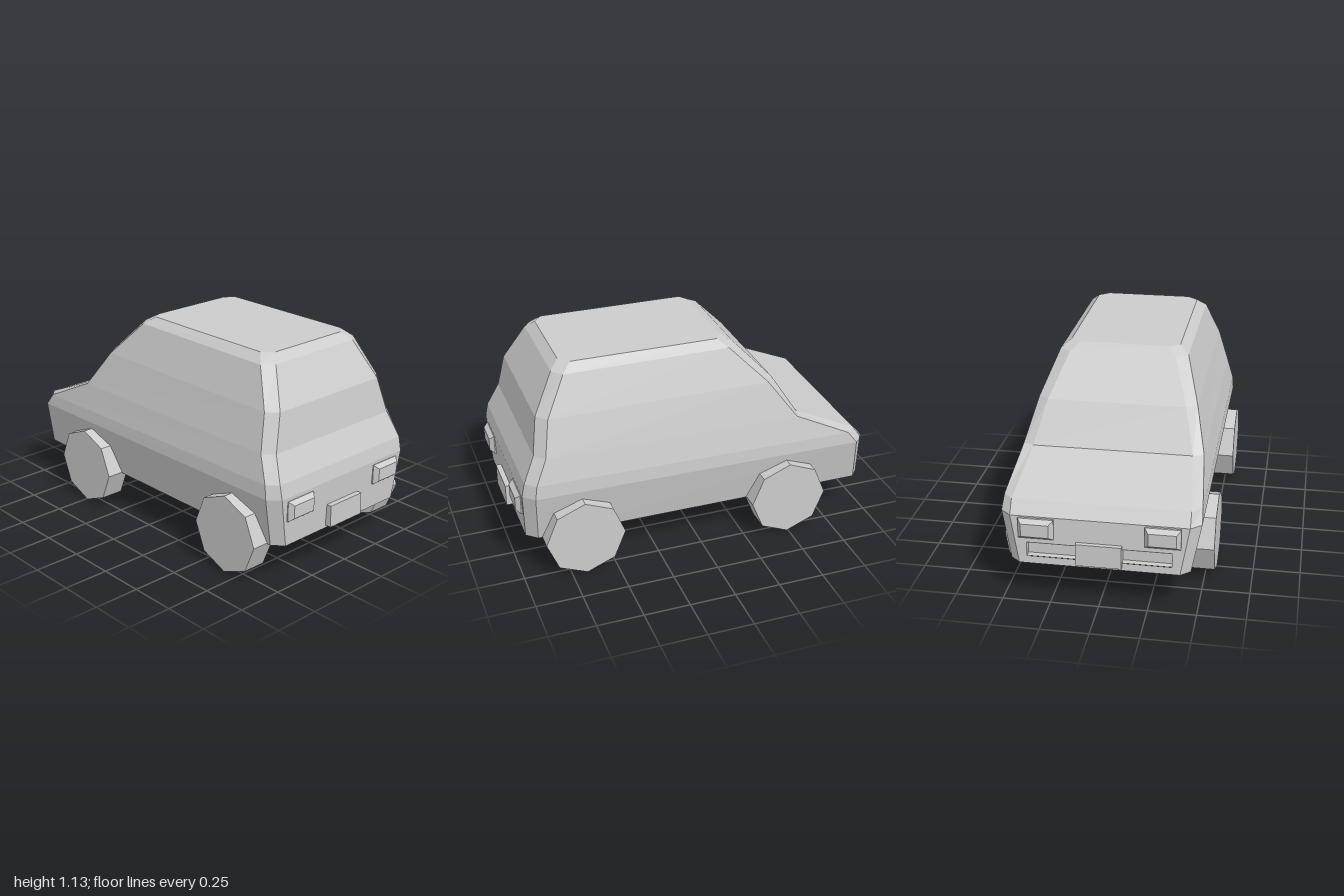
import * as THREE from 'three';

const material = new THREE.MeshStandardMaterial({
  color: 0xcccccc, flatShading: true, side: THREE.DoubleSide,
});

function part(name, geometry, parent) {
  const mesh = new THREE.Mesh(geometry, material);
  mesh.name = name;
  parent.add(mesh);
  return mesh;
}

// Skin over closed rings of points, capped on the last ring
function loft(rings, skip = () => false) {
  const pos = [];
  const tri = (...pts) => pts.forEach((p) => pos.push(...p));
  for (let i = 0; i < rings.length - 1; i++) {
    const n = rings[i].length;
    for (let j = 0; j < n; j++) {
      if (skip(i, j)) continue;
      const k = (j + 1) % n;
      const a = rings[i][j], b = rings[i][k], c = rings[i + 1][k], d = rings[i + 1][j];
      tri(a, b, c);
      tri(a, c, d);
    }
  }
  const cap = rings[rings.length - 1];
  for (let j = 1; j < cap.length - 1; j++) tri(cap[0], cap[j], cap[j + 1]);
  const geometry = new THREE.BufferGeometry();
  geometry.setAttribute('position', new THREE.Float32BufferAttribute(pos, 3));
  geometry.computeVertexNormals();
  return geometry;
}

// Upright rectangle facing +z
const rect = (x0, x1, y0, y1, z, inset = 0) => [
  [x0 + inset, y0 + inset, z], [x1 - inset, y0 + inset, z],
  [x1 - inset, y1 - inset, z], [x0 + inset, y1 - inset, z],
];

// Lamps and number plate shared by both ends of the car
function addFittings(parent, lampName) {
  for (const x of [-0.322, 0.322]) {
    const r = [x - 0.091, x + 0.091, 0.35, 0.46];
    part(lampName, loft([rect(...r, 0.95), rect(...r, 0.975), rect(...r, 1, 0.02)]), parent);
  }
  const p = [-0.117, 0.117, 0.225, 0.345];
  part('numberPlate', loft([rect(...p, 0.93), rect(...p, 0.995)]), parent);
}

export function createModel() {
  const car = new THREE.Group();
  car.name = 'car';

  // Body levels: hatch y, bonnet y, outer x, inner x,
  // hatch corner z and end z, bonnet corner z and end z
  const levels = [
    [0.21, 0.21, 0.46, 0.41, 0.903, 0.96, -0.936, -0.979],
    [0.48, 0.467, 0.51, 0.455, 0.914, 0.973, -0.914, -0.963],
    [0.555, 0.535, 0.505, 0.455, 0.903, 0.957, -0.86, -0.914],
    [0.69, 0.68, 0.475, 0.42, 0.842, 0.893, -0.555, -0.576],
    [0.885, 0.89, 0.42, 0.365, 0.807, 0.86, -0.4, -0.442],
    [1.085, 1.09, 0.345, 0.285, 0.7, 0.748, -0.2, -0.249],
    [1.128, 1.128, 0.295, 0.24, 0.65, 0.7, -0.15, -0.187],
  ];
  const rings = levels.map(([yh, yb, xo, xi, hs, he, bs, be]) => [
    [xi, yh, he], [xo, yh, hs], [xo, yb, bs], [xi, yb, be],
    [-xi, yb, be], [-xo, yb, bs], [-xo, yh, hs], [-xi, yh, he],
  ]);
  part('bodyShell', loft(rings, (i, j) => i === 0 && j === 3), car);

  // Hatch end
  const hatch = new THREE.Group();
  hatch.name = 'hatchEnd';
  addFittings(hatch, 'tailLamp');
  car.add(hatch);

  // Bonnet end, built facing +z and turned around
  const nose = new THREE.Group();
  nose.name = 'bonnetEnd';
  nose.rotation.y = Math.PI;
  addFittings(nose, 'headLamp');
  car.add(nose);

  // Nose panel with the grille opening
  const v = (x, y) => new THREE.Vector2(x, y);
  const outline = new THREE.Shape([v(-0.41, 0.21), v(0.41, 0.21), v(0.455, 0.467), v(-0.455, 0.467)]);
  const slot = [-0.37, 0.37, 0.25, 0.325];
  outline.holes.push(new THREE.Path(rect(...slot, 0).reverse().map(([x, y]) => v(x, y))));
  const panel = new THREE.ShapeGeometry(outline);
  const pos = panel.attributes.position;
  for (let i = 0; i < pos.count; i++) {
    pos.setZ(i, 0.979 - 0.016 * (pos.getY(i) - 0.21) / 0.257);
  }
  panel.computeVertexNormals();
  part('nosePanel', panel, nose);
  part('grilleRecess', loft([rect(...slot, 0.975), rect(...slot, 0.94)]), nose);

  // Eight-sided wheels
  const wheel = new THREE.CylinderGeometry(0.215, 0.215, 0.13, 8).rotateZ(Math.PI / 2);
  for (const [end, z] of [['hatch', 0.667], ['bonnet', -0.493]]) {
    for (const [side, x] of [['Left', 0.49], ['Right', -0.49]]) {
      part(`${end}${side}Wheel`, wheel, car).position.set(x, 0.215, z);
    }
  }
  return car;
}
